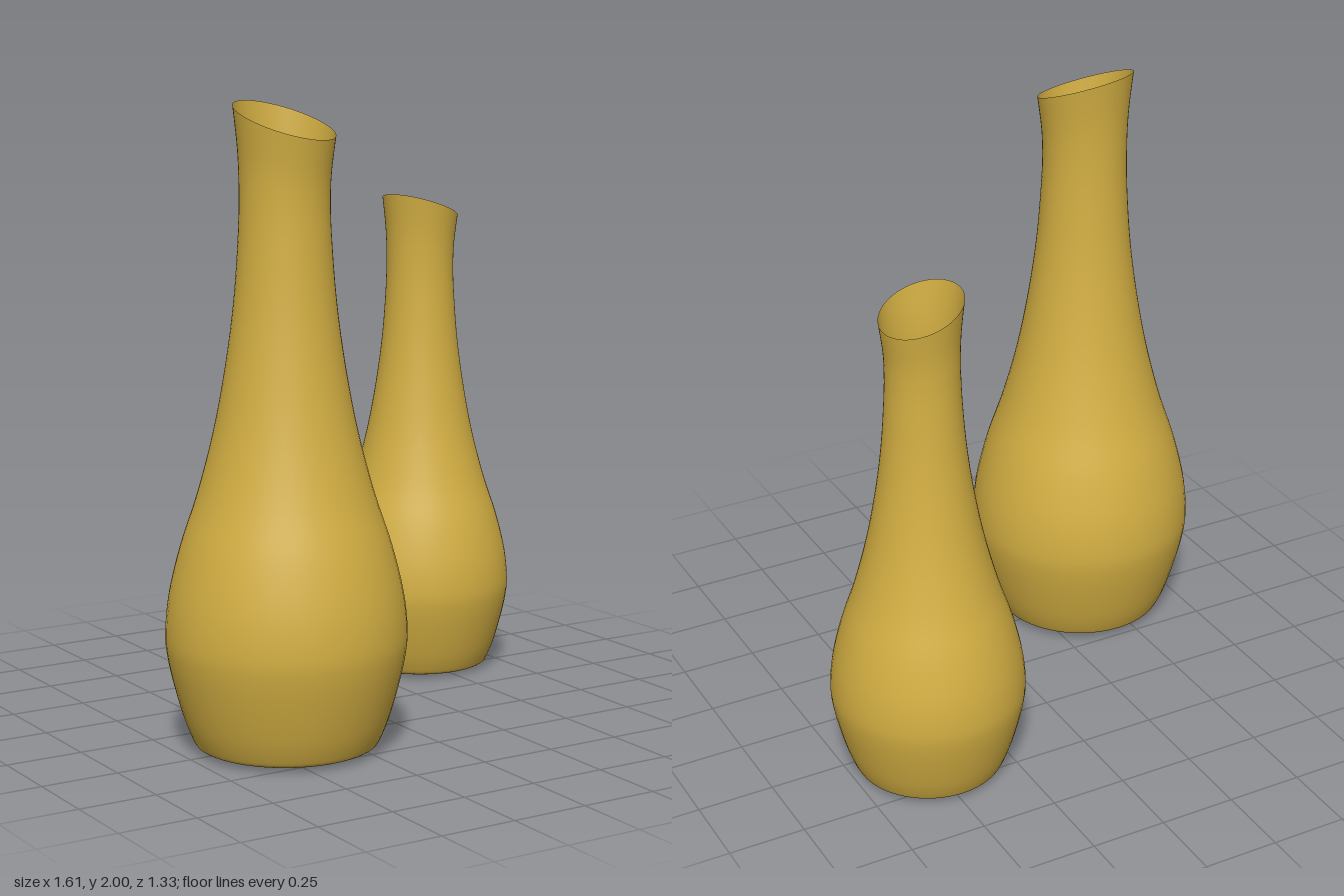
import * as THREE from 'three';
import { mergeVertices } from 'three/addons/utils/BufferGeometryUtils.js';

const HEIGHT = 1.945; // mean rim height of the full-size vase
const SLOPE = 0.36;   // steepness of the slanted rim

// Thin-walled bottle vase with a slanted mouth; riseAngle is the heading (x towards z) of the high side
function vaseGeometry(riseAngle) {
  const base = [[0, 0], [0.006, 0.002], [0.018, 0.011], [0.03, 0.012], [0.15, 0.012], [0.24, 0.012]];
  const wall = [
    [0.262, 0.013], [0.28, 0.02], [0.292, 0.036], [0.318, 0.1], [0.347, 0.2], [0.369, 0.3],
    [0.375, 0.38], [0.362, 0.5], [0.325, 0.65], [0.272, 0.81], [0.222, 1], [0.184, 1.2],
    [0.157, 1.4], [0.142, 1.6], [0.139, 1.73], [0.143, 1.83], [0.156, HEIGHT],
  ];
  const toVec = ([r, y]) => new THREE.Vector2(r, y);
  const profile = [...base.map(toVec), ...new THREE.SplineCurve(wall.map(toVec)).getPoints(64)];
  let geometry = new THREE.LatheGeometry(profile, 56);

  // Slant the mouth, easing out down the neck
  const pos = geometry.attributes.position;
  for (let i = 0; i < pos.count; i++) {
    const x = pos.getX(i), y = pos.getY(i), z = pos.getZ(i);
    const ease = THREE.MathUtils.smoothstep(y, 1.55, HEIGHT);
    pos.setY(i, y + ease * SLOPE * (x * Math.cos(riseAngle) + z * Math.sin(riseAngle)));
  }

  // Weld the seam so the shading is continuous
  geometry.deleteAttribute('uv');
  geometry.deleteAttribute('normal');
  geometry = mergeVertices(geometry, 1e-5);
  geometry.computeVertexNormals();
  return geometry;
}

export function createModel() {
  const group = new THREE.Group();
  group.name = 'vasePair';
  const material = new THREE.MeshStandardMaterial({ color: 0xd2ae42, side: THREE.DoubleSide });

  const vases = [
    { name: 'tallVase', x: -0.43, z: 0.29, scale: 1, rise: 247 },
    { name: 'shortVase', x: 0.492, z: -0.355, scale: 0.828, rise: 164 },
  ];
  for (const { name, x, z, scale, rise } of vases) {
    const vase = new THREE.Mesh(vaseGeometry(THREE.MathUtils.degToRad(rise)), material);
    vase.name = name;
    vase.position.set(x, 0, z);
    vase.scale.setScalar(scale);
    group.add(vase);
  }
  return group;
}
